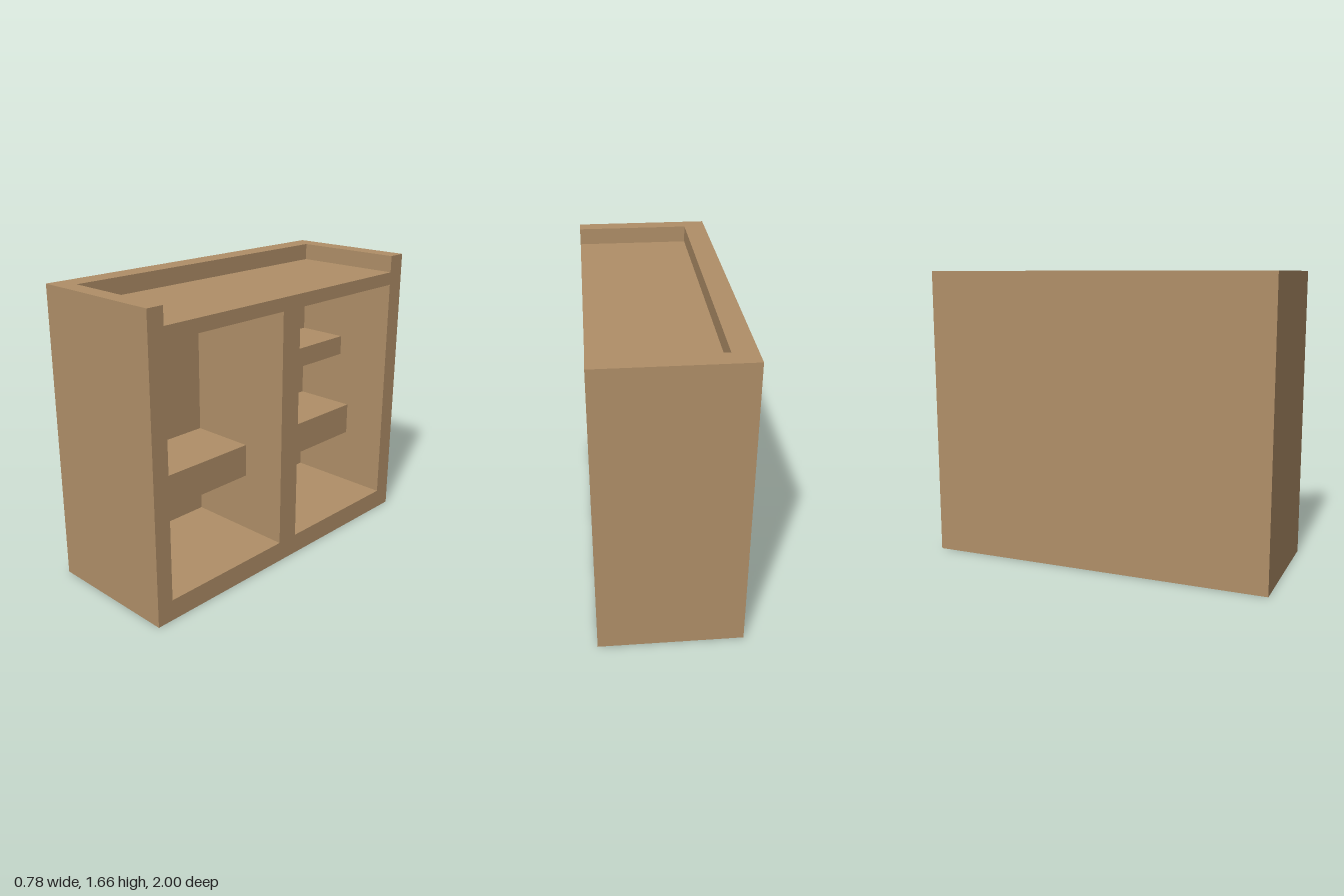
import * as THREE from 'three';

const BACK = -0.392, INNER = -0.266, FRONT = 0.392; // depth positions along x
const HEIGHT = 1.66;

// Openings as [zMin, zMax] between floor and ceiling of the compartments
const LEFT_BAY = [0.077, 0.903];
const RIGHT_BAY = [-0.889, -0.06];
const BAY_FLOOR = 0.118, BAY_CEILING = 1.488, TRAY_FLOOR = 1.563;

export function createModel() {
  const group = new THREE.Group();
  const wood = new THREE.MeshStandardMaterial({ color: 0xb08f68 });
  wood.name = 'light wood';

  const add = (name, geometry) => {
    const mesh = new THREE.Mesh(geometry, wood);
    mesh.name = name;
    group.add(mesh);
    return mesh;
  };

  const addBox = (name, [x0, x1], [y0, y1], [z0, z1]) =>
    add(name, new THREE.BoxGeometry(x1 - x0, y1 - y0, z1 - z0))
      .position.set((x0 + x1) / 2, (y0 + y1) / 2, (z0 + z1) / 2);

  // Carcass: outline notched for the top tray, with two open bays (drawn in -z, y)
  const points = (list) => list.map(([z, y]) => new THREE.Vector2(-z, y));
  const outline = new THREE.Shape(points([
    [1, 0], [-1, 0], [-1, HEIGHT], [-0.889, HEIGHT], [-0.889, TRAY_FLOOR],
    [0.903, TRAY_FLOOR], [0.903, HEIGHT], [1, HEIGHT],
  ]));
  for (const [z0, z1] of [LEFT_BAY, RIGHT_BAY]) {
    outline.holes.push(new THREE.Path(points([
      [z0, BAY_FLOOR], [z1, BAY_FLOOR], [z1, BAY_CEILING], [z0, BAY_CEILING],
    ])));
  }
  const carcass = new THREE.ExtrudeGeometry(outline, { depth: FRONT - INNER, bevelEnabled: false });
  carcass.rotateY(Math.PI / 2).translate(INNER, 0, 0);
  add('carcass', carcass);

  // Full-height panel closing the bays and the tray
  addBox('backPanel', [BACK, INNER], [0, HEIGHT], [-1, 1]);

  // Shelves stop short of the opening
  addBox('leftShelf', [INNER, 0.12], [0.46, 0.654], LEFT_BAY);
  addBox('rightLowerShelf', [INNER, 0.12], [0.46, 0.654], RIGHT_BAY);
  addBox('rightUpperShelf', [INNER, 0.045], [0.985, 1.104], RIGHT_BAY);

  return group;
}
